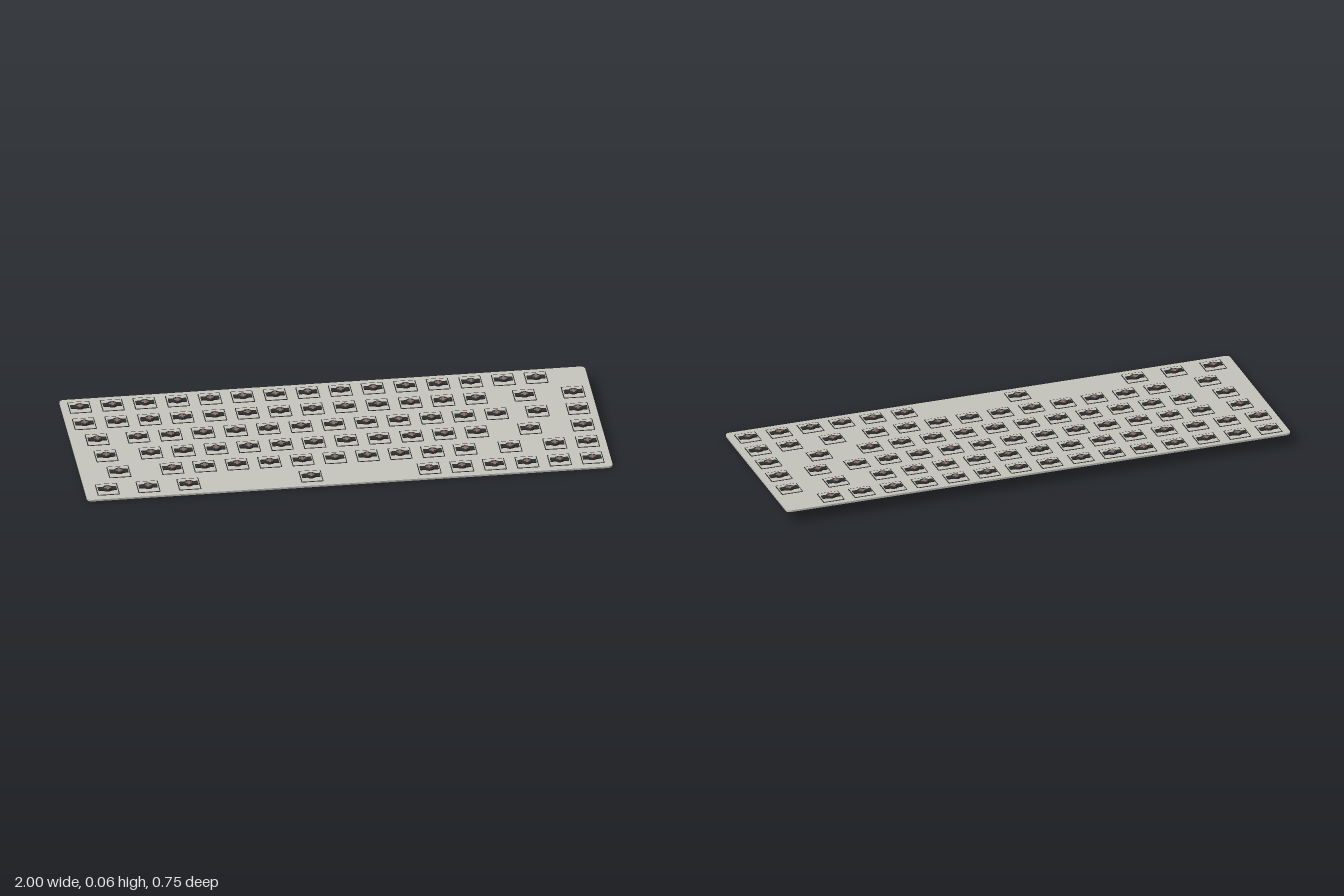
import * as THREE from 'three';

const PITCH = 0.124;           // one key unit
const TILT = 0.064;            // typing angle in radians

const plateMat = new THREE.MeshStandardMaterial({ name: 'warm grey', color: 0xc6c6be });
const darkMat = new THREE.MeshStandardMaterial({ name: 'charcoal', color: 0x2e2e2c });
const stemMat = new THREE.MeshStandardMaterial({ name: 'dusty brown', color: 0x8c726c });

// Rectangle outline with rounded corners, centred on the origin
function roundedRect(w, d, r) {
  const s = new THREE.Shape(), x = w / 2, y = d / 2;
  s.moveTo(-x + r, -y);
  s.lineTo(x - r, -y); s.absarc(x - r, -y + r, r, -Math.PI / 2, 0);
  s.lineTo(x, y - r); s.absarc(x - r, y - r, r, 0, Math.PI / 2);
  s.lineTo(-x + r, y); s.absarc(-x + r, y - r, r, Math.PI / 2, Math.PI);
  s.lineTo(-x, -y + r); s.absarc(-x + r, -y + r, r, Math.PI, Math.PI * 1.5);
  return s;
}

// Lay a shape flat and give it thickness from y0 to y1 (shape -y becomes +z)
function slab(shape, y0, y1) {
  return new THREE.ExtrudeGeometry(shape, { depth: y1 - y0, bevelEnabled: false, curveSegments: 6 })
    .rotateX(-Math.PI / 2).translate(0, y0, 0);
}

function part(name, geometry, material) {
  const m = new THREE.Mesh(geometry, material);
  m.name = name;
  return m;
}

function makeSwitch() {
  const g = new THREE.Group();
  const box = (w, h, d, y) => new THREE.BoxGeometry(w, h, d).translate(0, y, 0);

  // Lower housing with two clipped corners
  const a = 0.042, c = 0.014;
  const lower = new THREE.Shape([[-a + c, -a], [a - c, -a], [a, -a + c], [a, a], [-a, a], [-a, -a + c]]
    .map(p => new THREE.Vector2(...p)));
  g.add(part('lowerHousing', slab(lower, -0.0085, -0.002), plateMat));

  // Thin dark rim around the raised top
  const rim = roundedRect(0.084, 0.084, 0.003);
  rim.holes.push(roundedRect(0.077, 0.077, 0.002));
  g.add(part('housingRim', slab(rim, 0.002, 0.0048), darkMat));
  g.add(part('upperHousing', box(0.077, 0.004, 0.077, 0.0035), plateMat));

  // Slider: wide bar, round collar and cross stem
  g.add(part('sliderBar', box(0.07, 0.005, 0.024, 0.0072), darkMat));
  g.add(part('sliderCollar',
    new THREE.CylinderGeometry(0.018, 0.02, 0.0075, 16).translate(0, 0.0083, 0), darkMat));
  g.add(part('stemAcross', box(0.025, 0.002, 0.009, 0.0118), stemMat));
  g.add(part('stemAlong', box(0.009, 0.002, 0.025, 0.0118), stemMat));
  return g;
}

// Evenly spaced key centres, in units from the left edge
const run = (start, count) => Array.from({ length: count }, (_, i) => start + i);

const rows = [
  run(0.5, 15),
  [...run(0.5, 13), 14, 15.5],
  [0.75, ...run(2, 12), 14.25, 15.5],
  [0.875, ...run(2.25, 11), 13.875, 15.5],
  [1.125, ...run(2.75, 10), 13.125, 14.5, 15.5],
  [0.625, 1.875, 3.125, 6.875, ...run(10.5, 6)],
];

export function createModel() {
  const model = new THREE.Group();
  model.name = 'keyboardPlate';
  const board = new THREE.Group();
  board.name = 'tiltedBoard';
  model.add(board);

  // Mounting plate
  board.add(part('plate', slab(roundedRect(2, 0.753, 0.018), -0.0035, 0.0035), plateMat));

  // Switches, row by row from the back
  const proto = makeSwitch();
  rows.forEach((row, r) => {
    for (const u of row) {
      const key = proto.clone();
      key.name = 'keySwitch';
      key.position.set((u - 8) * PITCH, 0, (r - 2.5) * PITCH - 0.003);
      board.add(key);
    }
  });

  // Tilt up at the back and rest on the ground
  board.rotation.x = TILT;
  model.updateMatrixWorld(true);
  board.position.y = -new THREE.Box3().setFromObject(model, true).min.y;
  return model;
}
